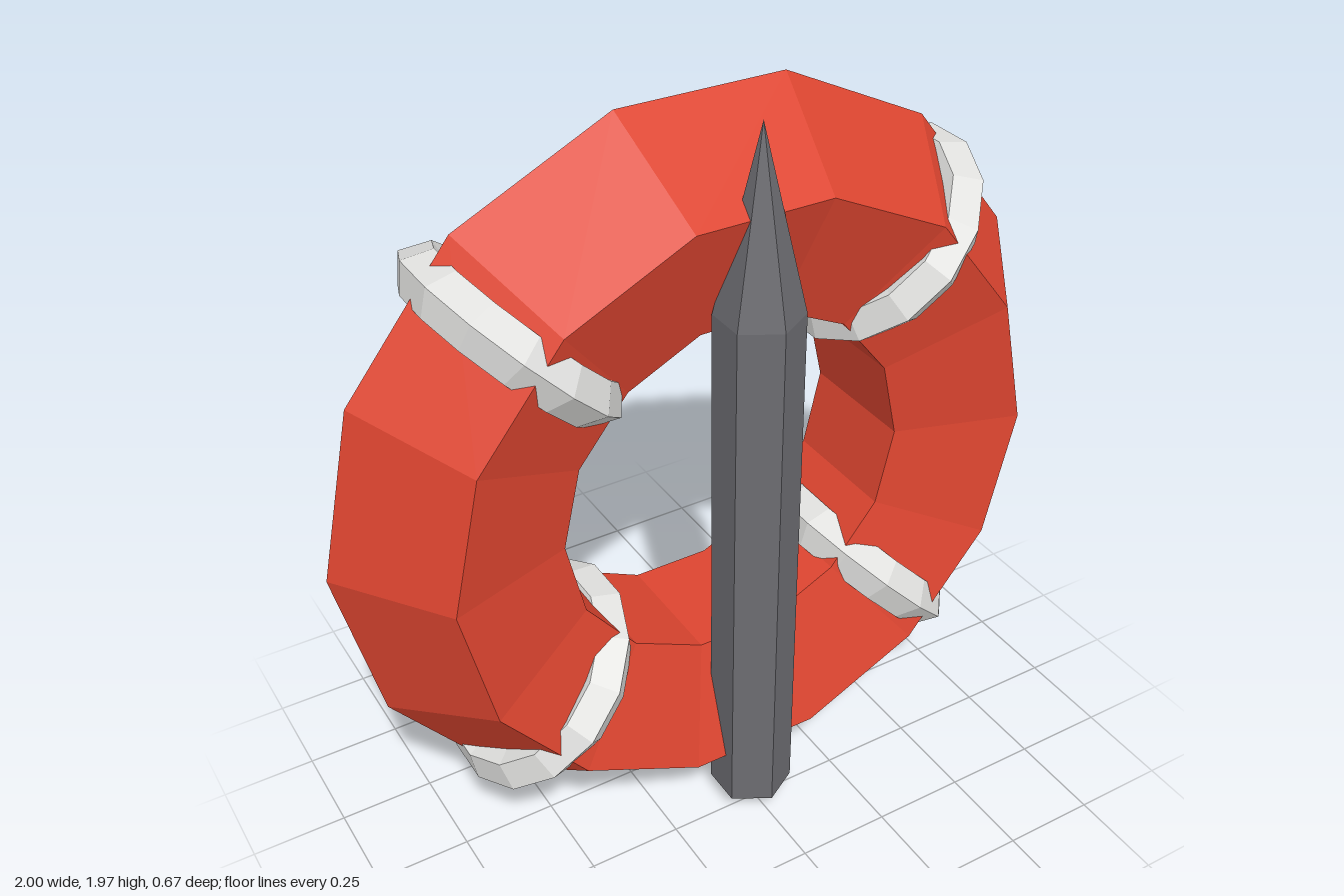
import * as THREE from 'three';

const flat = (name, color) => {
  const m = new THREE.MeshStandardMaterial({ color, flatShading: true });
  m.name = name;
  return m;
};

export function createModel() {
  const red = flat('red', 0xdd4530);
  const white = flat('white', 0xe0e0de);
  const grey = flat('grey', 0x6c6c71);

  const model = new THREE.Group();
  model.name = 'lifebuoyOnPost';
  const add = (parent, name, geometry, material, x, y, z) => {
    const mesh = new THREE.Mesh(geometry, material);
    mesh.name = name;
    mesh.position.set(x, y, z);
    parent.add(mesh);
    return mesh;
  };

  // Float ring with a five-sided section
  const ringRadius = 0.711;
  const buoy = new THREE.Group();
  buoy.name = 'lifebuoy';
  buoy.position.set(0, 0.975, -0.025);
  model.add(buoy);
  add(buoy, 'floatRing', new THREE.TorusGeometry(ringRadius, 0.289, 5, 14), red, 0, 0, 0);

  // Four straps wrapped around the ring on the diagonals
  const strapGeometry = new THREE.TorusGeometry(0.243, 0.067, 5, 14);
  for (let i = 0; i < 4; i++) {
    const pivot = new THREE.Group();
    pivot.name = `strapPivot${i + 1}`;
    pivot.rotation.z = Math.PI / 4 + i * Math.PI / 2;
    buoy.add(pivot);
    add(pivot, `strap${i + 1}`, strapGeometry, white, 0, 0.707, 0).rotation.y = Math.PI / 2;
  }

  // Six-sided post with a pointed tip, in front of the ring
  const postRadius = 0.108, bottom = 0.06, shoulder = 1.505, top = 1.97, postZ = 0.227;
  add(model, 'post', new THREE.CylinderGeometry(postRadius, postRadius, shoulder - bottom, 6),
    grey, 0, (shoulder + bottom) / 2, postZ);
  add(model, 'postTip', new THREE.ConeGeometry(postRadius, top - shoulder, 6, 1, true),
    grey, 0, (top + shoulder) / 2, postZ);

  return model;
}
